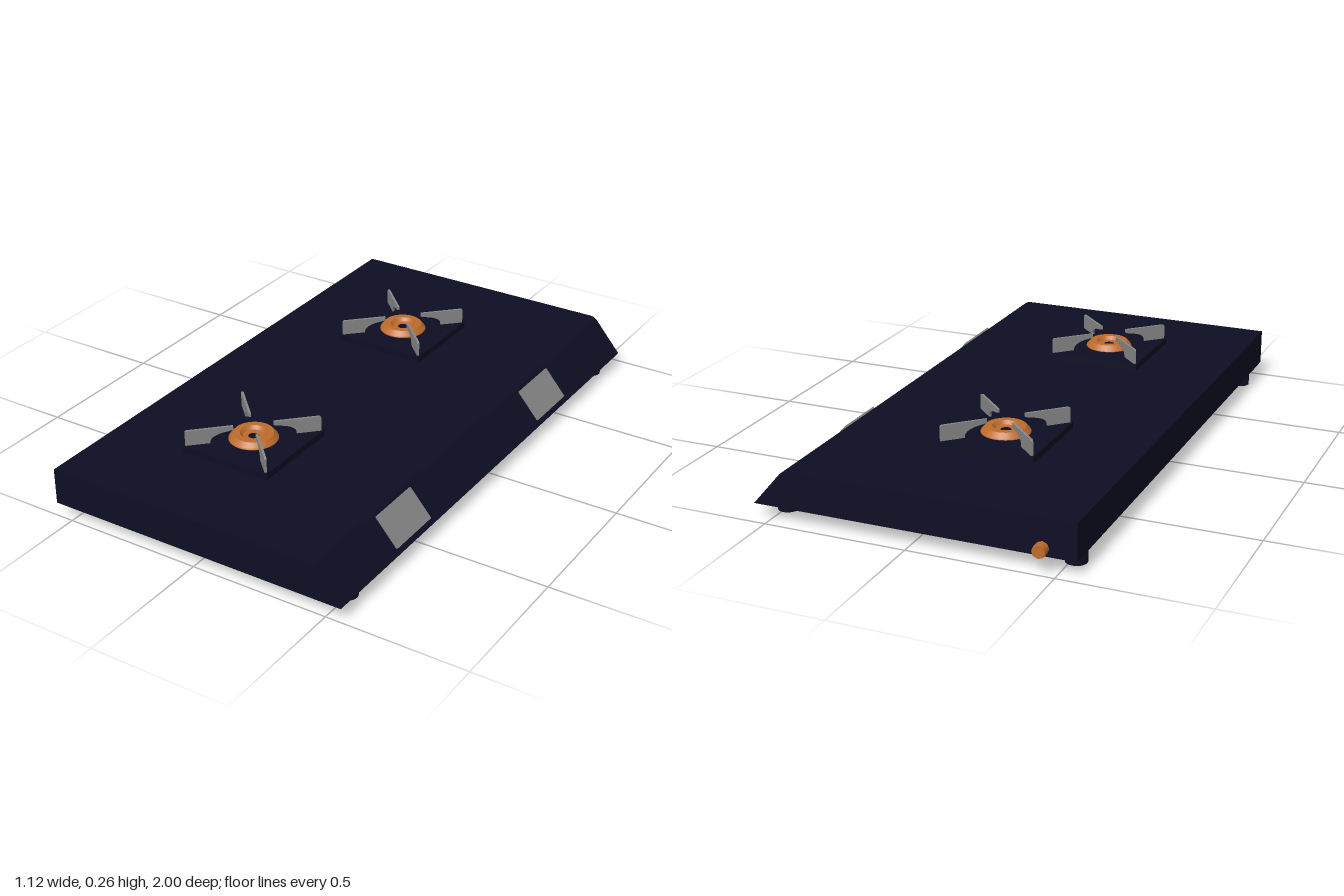
import * as THREE from 'three';

const navy = new THREE.MeshStandardMaterial({ color: 0x0e0e24 });
navy.name = 'dark navy enamel';
const copper = new THREE.MeshStandardMaterial({ color: 0xbd6b2b });
copper.name = 'copper';
const grey = new THREE.MeshStandardMaterial({ color: 0x868686 });
grey.name = 'grey steel';

function add(parent, name, geometry, material, x = 0, y = 0, z = 0) {
  const mesh = new THREE.Mesh(geometry, material);
  mesh.name = name;
  mesh.position.set(x, y, z);
  parent.add(mesh);
  return mesh;
}

// Extrudes a shape and centres it along its depth
function slab(shape, depth) {
  return new THREE.ExtrudeGeometry(shape, { depth, bevelEnabled: false, curveSegments: 8 })
    .translate(0, 0, -depth / 2);
}

// Lathe with a hard edge at every profile point
function turned(points, segments) {
  const geometry = new THREE.BufferGeometry();
  const position = [], normal = [];
  for (let i = 0; i < points.length - 1; i++) {
    const pair = [points[i], points[i + 1]].map(([r, y]) => new THREE.Vector2(r, y));
    const band = new THREE.LatheGeometry(pair, segments).toNonIndexed();
    position.push(...band.attributes.position.array);
    normal.push(...band.attributes.normal.array);
  }
  geometry.setAttribute('position', new THREE.Float32BufferAttribute(position, 3));
  geometry.setAttribute('normal', new THREE.Float32BufferAttribute(normal, 3));
  return geometry;
}

function createBurner() {
  const burner = new THREE.Group();
  burner.name = 'burner';

  // Pan support base, raised slightly off the hob
  add(burner, 'supportBase', new THREE.BoxGeometry(0.34, 0.024, 0.34), navy, 0, 0.195, 0);
  add(burner, 'burnerSeat', new THREE.CylinderGeometry(0.084, 0.084, 0.006, 32), navy, 0, 0.181, 0);
  add(burner, 'burnerStem', new THREE.CylinderGeometry(0.019, 0.019, 0.012, 20), copper, 0, 0.183, 0);

  // Burner head with a dished centre
  add(burner, 'burnerHead', turned([
    [0.08, 0.2], [0.085, 0.209], [0.083, 0.213], [0.069, 0.229],
    [0.046, 0.229], [0.036, 0.217], [0.018, 0.215],
  ], 32), copper);
  add(burner, 'burnerHole', new THREE.CylinderGeometry(0.019, 0.019, 0.006, 20), navy, 0, 0.212, 0);

  // Four thin arms on the diagonals
  const arm = new THREE.Shape();
  arm.moveTo(0.146, 0.2);
  arm.lineTo(0.23, 0.2);
  arm.lineTo(0.23, 0.256);
  arm.quadraticCurveTo(0.229, 0.262, 0.222, 0.262);
  arm.lineTo(0.068, 0.262);
  arm.lineTo(0.068, 0.249);
  arm.quadraticCurveTo(0.075, 0.246, 0.09, 0.244);
  arm.quadraticCurveTo(0.144, 0.236, 0.146, 0.212);
  arm.closePath();
  const armGeometry = slab(arm, 0.008);
  for (let i = 0; i < 4; i++) {
    add(burner, 'supportArm', armGeometry, grey).rotation.y = Math.PI / 4 + i * Math.PI / 2;
  }
  return burner;
}

export function createModel() {
  const model = new THREE.Group();
  model.name = 'gasStove';

  // Hob body with a sloping control side
  const profile = new THREE.Shape();
  profile.moveTo(-0.56, 0.05);
  profile.lineTo(0.556, 0.05);
  profile.lineTo(0.459, 0.163);
  profile.quadraticCurveTo(0.447, 0.178, 0.43, 0.178);
  profile.lineTo(-0.56, 0.178);
  profile.closePath();
  add(model, 'body', slab(profile, 1.968), navy, 0, 0, 0.016);

  // Feet
  const foot = new THREE.CylinderGeometry(0.036, 0.036, 0.052, 24);
  for (const x of [-0.516, 0.492]) {
    for (const z of [-0.862, 0.865]) add(model, 'foot', foot, navy, x, 0.026, z);
  }

  // Two burners, each with a control plate on the slope
  const plate = new THREE.BoxGeometry(0.122, 0.0098, 0.205);
  for (const [burnerZ, plateZ] of [[-0.442, -0.412], [0.523, 0.553]]) {
    const burner = createBurner();
    burner.position.set(-0.097, 0, burnerZ);
    model.add(burner);
    add(model, 'controlPlate', plate, grey, 0.506, 0.115, plateZ).rotation.z = -Math.atan2(0.113, 0.097);
  }

  // Gas inlet at the back
  add(model, 'gasInlet', new THREE.CylinderGeometry(0.023, 0.023, 0.04, 8).rotateX(Math.PI / 2),
    copper, -0.447, 0.077, -0.98);
  return model;
}
